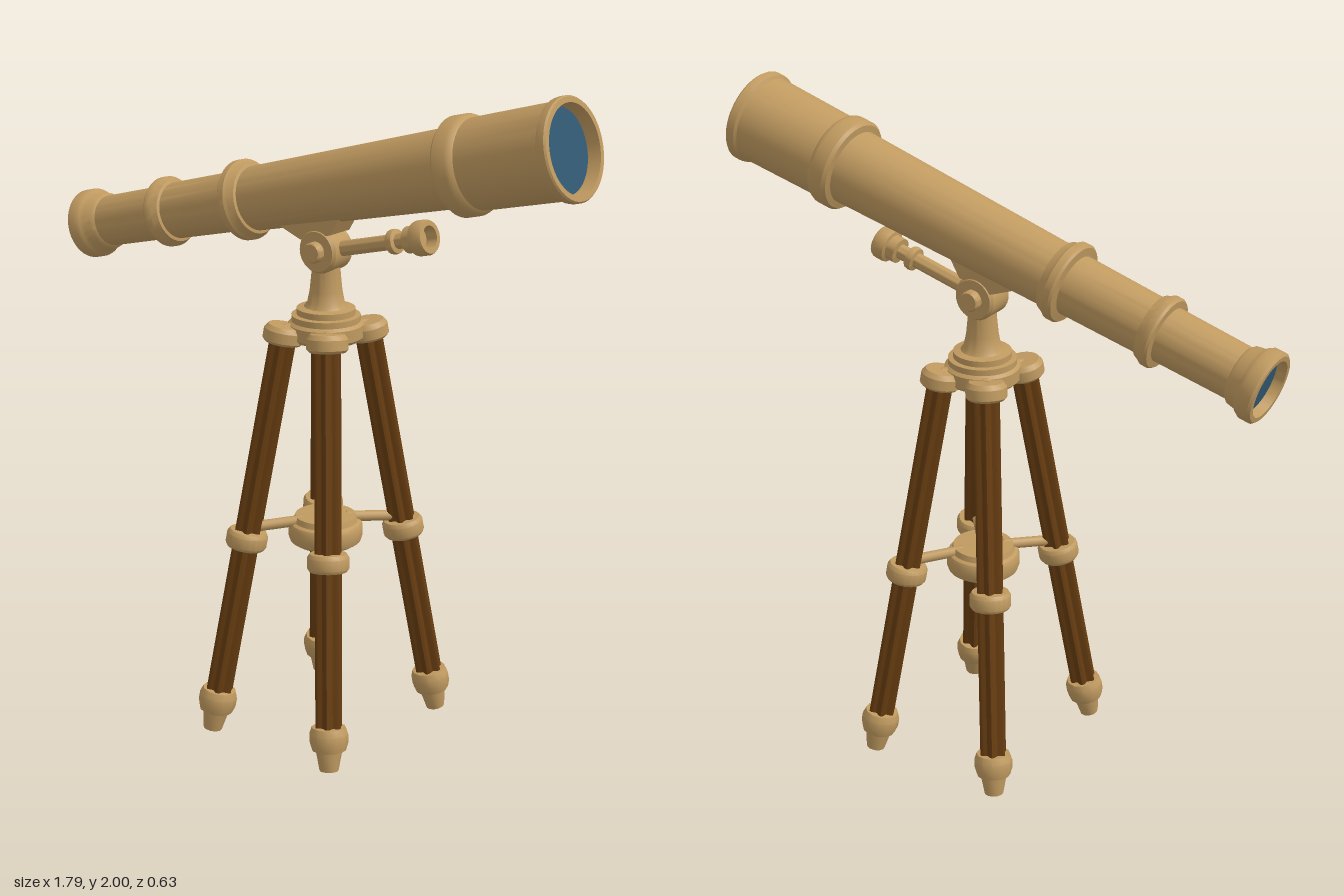
import * as THREE from 'three';
import { toCreasedNormals } from 'three/addons/utils/BufferGeometryUtils.js';

const material = (name, color) => Object.assign(new THREE.MeshStandardMaterial({ color }), { name });
const brass = material('brass', 0xc09a60);
const wood = material('darkWood', 0x663c10);
const glass = material('blueGlass', 0x335a75);

const UP = new THREE.Vector3(0, 1, 0);
const TILT = THREE.MathUtils.degToRad(14.5);
const CENTRE_X = 0.05;

function add(parent, name, geometry, mat, x = 0, y = 0, z = 0) {
  const mesh = new THREE.Mesh(geometry, mat);
  mesh.name = name;
  mesh.position.set(x, y, z);
  parent.add(mesh);
  return mesh;
}

// Turned part from [radius, height] pairs, listed upwards, with crisp edges
function turned(profile, sides = 40) {
  const points = profile.map(([r, y]) => new THREE.Vector2(r, y));
  return toCreasedNormals(new THREE.LatheGeometry(points, sides), 0.6);
}

// Straight bar between two points
function bar(parent, name, a, b, radius, mat) {
  const mesh = add(parent, name, new THREE.CylinderGeometry(radius, radius, a.distanceTo(b), 14), mat);
  mesh.position.lerpVectors(a, b, 0.5);
  mesh.quaternion.setFromUnitVectors(UP, b.clone().sub(a).normalize());
  return mesh;
}

// Fluted shaft with lobes around its axis
function flutedShaft(length) {
  const outline = [];
  for (let i = 0; i < 48; i++) {
    const a = (i / 48) * Math.PI * 2;
    const r = 0.036 + 0.006 * Math.cos(6 * a);
    outline.push(new THREE.Vector2(r * Math.cos(a), r * Math.sin(a)));
  }
  const geometry = new THREE.ExtrudeGeometry(new THREE.Shape(outline), { depth: length, bevelEnabled: false });
  return toCreasedNormals(geometry.rotateX(-Math.PI / 2), 0.6);
}

function makeTelescope() {
  const scope = new THREE.Group();
  scope.name = 'telescope';
  scope.position.set(0, 1.645, 0);
  scope.rotation.z = TILT - Math.PI / 2;

  // Draw tubes, flanges and hood in one turned shell, eyepiece first
  add(scope, 'tube', turned([
    [0.078, -0.86], [0.084, -0.9], [0.098, -0.9], [0.105, -0.893], [0.105, -0.862], [0.098, -0.85],
    [0.09, -0.84], [0.086, -0.815], [0.077, -0.805], [0.08, -0.575],
    [0.1, -0.573], [0.105, -0.566], [0.105, -0.548], [0.1, -0.54], [0.093, -0.525], [0.084, -0.523],
    [0.088, -0.268],
    [0.112, -0.265], [0.118, -0.258], [0.118, -0.238], [0.112, -0.23], [0.103, -0.21], [0.094, -0.208],
    [0.111, 0.512],
    [0.13, 0.515], [0.138, 0.525], [0.138, 0.565], [0.133, 0.577], [0.125, 0.585],
    [0.13, 0.85], [0.138, 0.856], [0.14, 0.865], [0.14, 0.88], [0.136, 0.885],
    [0.121, 0.885], [0.115, 0.84],
  ], 56), brass);
  add(scope, 'frontLens', new THREE.CylinderGeometry(0.117, 0.117, 0.006, 48), glass, 0, 0.845, 0);
  add(scope, 'eyepieceLens', new THREE.CylinderGeometry(0.08, 0.08, 0.006, 40), glass, 0, -0.868, 0);
  return scope;
}

function makeMount() {
  const mount = new THREE.Group();
  mount.name = 'mount';
  mount.position.x = CENTRE_X;

  // Stepped pedestal and neck
  add(mount, 'pedestal', turned([
    [0, 1.215], [0.1, 1.215], [0.11, 1.225], [0.11, 1.262], [0.1, 1.27], [0.1, 1.288], [0.085, 1.29],
    [0.085, 1.308], [0.063, 1.312], [0.054, 1.325], [0.047, 1.36], [0.042, 1.41], [0.04, 1.46], [0, 1.46],
  ]), brass);

  // Pivot barrel with end knobs
  const pivot = add(mount, 'pivot', turned([
    [0, -0.072], [0.026, -0.072], [0.03, -0.066], [0.03, -0.048], [0.058, -0.048], [0.065, -0.038],
    [0.065, 0.038], [0.058, 0.048], [0.03, 0.048], [0.03, 0.066], [0.026, 0.072], [0, 0.072],
  ], 32), brass, 0, 1.48, 0);
  pivot.rotation.x = Math.PI / 2;

  // Tapered saddle under the tube
  const saddleShape = new THREE.Shape([[-0.13, 0.05], [0.1, 0.05], [0.05, 0], [-0.06, 0]]
    .map(([x, y]) => new THREE.Vector2(x, y)));
  const saddleGeometry = new THREE.ExtrudeGeometry(saddleShape, { depth: 0.09, bevelEnabled: false });
  const saddle = add(mount, 'saddle', saddleGeometry.translate(0, 0, -0.045), brass, 0, 1.522, 0);
  saddle.rotation.z = TILT;

  // Steering handle with collar and hollow knob
  const handle = add(mount, 'handle', turned([
    [0.022, 0], [0.022, 0.235], [0.034, 0.238], [0.036, 0.248], [0.034, 0.258], [0.022, 0.261],
    [0.022, 0.295], [0.038, 0.297], [0.038, 0.325], [0.048, 0.328], [0.05, 0.336], [0.05, 0.362],
    [0.046, 0.37], [0.032, 0.37], [0.03, 0.335], [0, 0.335],
  ], 24), brass, 0, 1.475, 0);
  handle.rotation.z = TILT - Math.PI / 2;
  return mount;
}

function makeTripod() {
  const tripod = new THREE.Group();
  tripod.name = 'tripod';
  tripod.position.x = CENTRE_X;

  // Central spreader hub
  add(tripod, 'spreaderHub', turned([
    [0, 0.585], [0.09, 0.585], [0.105, 0.595], [0.11, 0.61], [0.11, 0.64], [0.105, 0.65],
    [0.095, 0.655], [0.09, 0.672], [0, 0.676],
  ]), brass);

  for (const sx of [-1, 1]) for (const sz of [-1, 1]) {
    const foot = new THREE.Vector3(sx * 0.222, 0.01, sz * 0.27);
    const top = new THREE.Vector3(sx * 0.078, 1.24, sz * 0.095);
    const length = foot.distanceTo(top);
    const leg = new THREE.Group();
    leg.name = 'leg';
    leg.position.copy(foot);
    leg.quaternion.setFromUnitVectors(UP, top.clone().sub(foot).normalize());
    tripod.add(leg);

    add(leg, 'legShaft', flutedShaft(length - 0.11), wood, 0, 0.1, 0);
    add(leg, 'foot', turned([
      [0, 0], [0.028, 0], [0.039, 0.058], [0.05, 0.062], [0.057, 0.085], [0.057, 0.11], [0.05, 0.13], [0, 0.132],
    ], 12), brass);
    add(leg, 'legRing', turned([
      [0, -0.027], [0.055, -0.027], [0.061, -0.018], [0.061, 0.014], [0.054, 0.025], [0, 0.027],
    ], 20), brass, 0, length * 0.493, 0);
    add(leg, 'legCap', turned([
      [0, -0.03], [0.052, -0.03], [0.06, -0.022], [0.06, 0.008], [0.05, 0.022], [0, 0.024],
    ], 20), brass, 0, length, 0);

    // Arms from the centre to the leg
    const ring = foot.clone().lerp(top, 0.52);
    bar(tripod, 'spreaderArm', new THREE.Vector3(sx * 0.04, 0.66, sz * 0.05), ring, 0.016, brass);
    bar(tripod, 'topArm', new THREE.Vector3(0, 1.245, 0), top, 0.026, brass);
  }
  return tripod;
}

export function createModel() {
  const model = new THREE.Group();
  model.name = 'telescopeOnTripod';
  model.add(makeTelescope(), makeMount(), makeTripod());
  return model;
}
